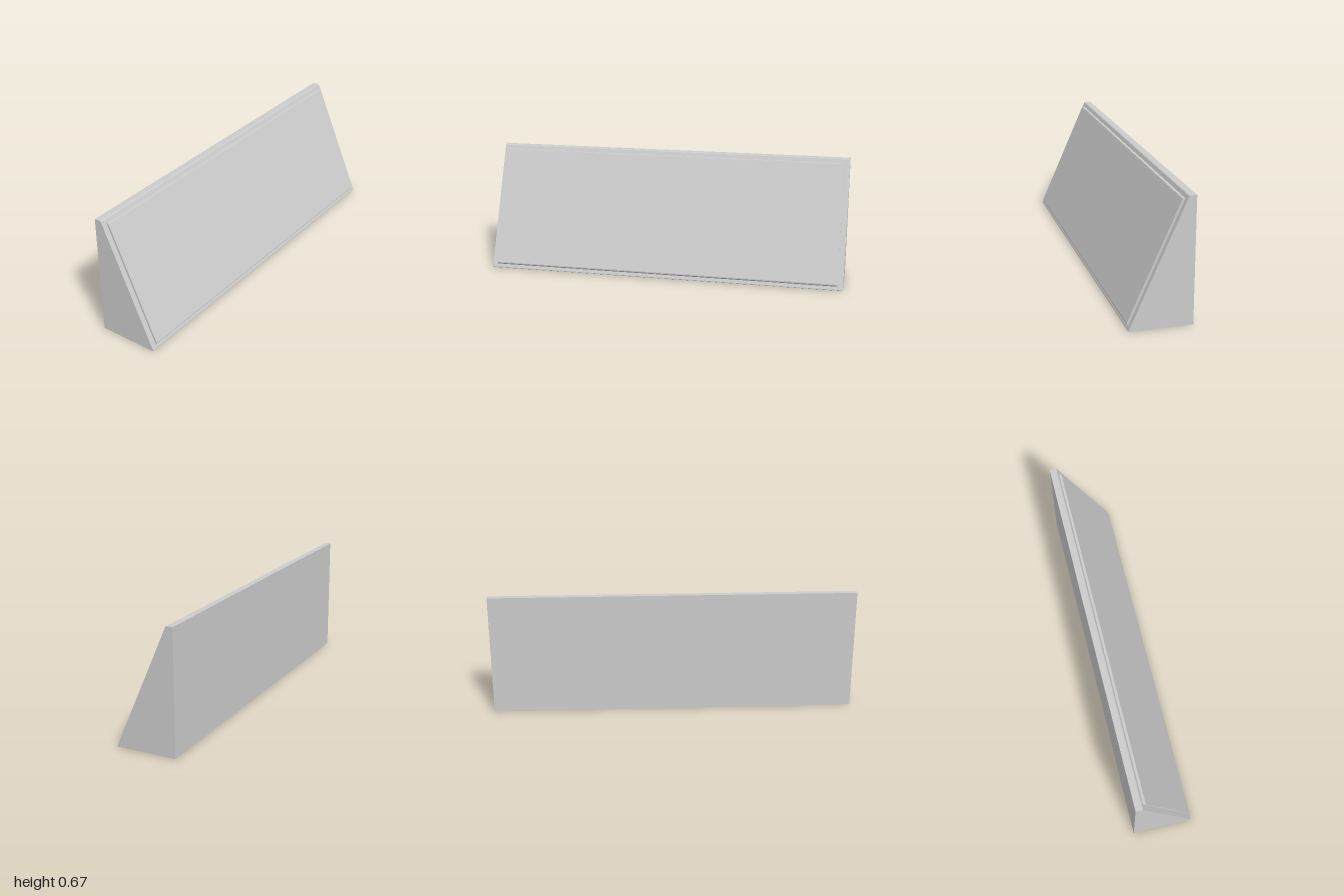
import * as THREE from 'three';

const material = new THREE.MeshStandardMaterial({ color: 0xcccccc });

// Extrude a side profile of [z, y] points across the width, centred on x = 0
function profilePart(name, points, width) {
  const shape = new THREE.Shape(points.map(([z, y]) => new THREE.Vector2(z, y)));
  const geometry = new THREE.ExtrudeGeometry(shape, { depth: width, bevelEnabled: false });
  geometry.translate(0, 0, -width / 2).rotateY(-Math.PI / 2);
  const mesh = new THREE.Mesh(geometry, material);
  mesh.name = name;
  return mesh;
}

export function createModel() {
  const group = new THREE.Group();
  group.name = 'wedgeStand';

  // Solid wedge: upright back, flat base, sloped front, softened front edges
  group.add(profilePart('wedgeBody', [
    [-0.165, 0], [0.162, 0], [0.165, 0.002], [0.165, 0.006],
    [-0.123, 0.657], [-0.126, 0.664], [-0.131, 0.667], [-0.165, 0.667],
  ], 2));

  // Thin raised plate lying on the slope, inset from the edges
  group.add(profilePart('frontPlate', [
    [0.15, 0.022], [0.159, 0.022], [0.165, 0.029], [0.165, 0.035],
    [-0.102, 0.638], [-0.105, 0.644], [-0.109, 0.645], [-0.125, 0.645],
  ], 1.94));

  return group;
}
